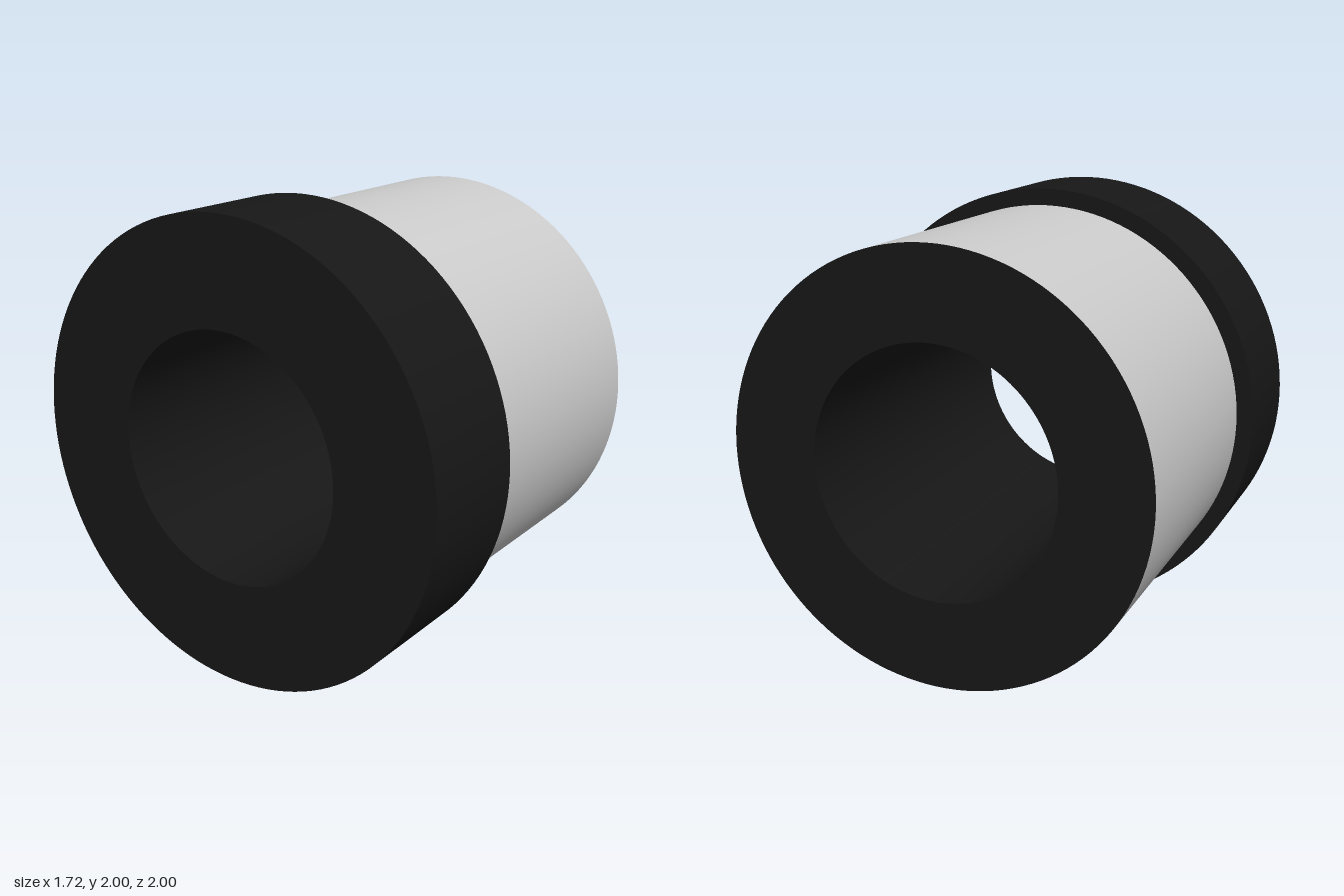
import * as THREE from 'three';
import { mergeGeometries } from 'three/addons/utils/BufferGeometryUtils.js';

const FLANGE_R = 1, SLEEVE_R = 0.925, BORE_R = 0.54;
const BACK = -0.86, SHOULDER = -0.32, END = 0.86;
const SEGMENTS = 128;

// Revolve a profile of [radius, x]; each stretch is lathed separately so edges stay sharp
function turned(name, profile, material) {
  const bands = [];
  for (let i = 0; i < profile.length - 1; i++) {
    const pair = [profile[i], profile[i + 1]].map(([r, x]) => new THREE.Vector2(r, x));
    bands.push(new THREE.LatheGeometry(pair, SEGMENTS));
  }
  const geometry = mergeGeometries(bands);
  geometry.rotateZ(-Math.PI / 2); // lathe axis onto x
  const mesh = new THREE.Mesh(geometry, material);
  mesh.name = name;
  return mesh;
}

export function createModel() {
  const dark = new THREE.MeshStandardMaterial({ color: 0x171717 });
  const grey = new THREE.MeshStandardMaterial({ color: 0xcccccc, side: THREE.DoubleSide });

  const group = new THREE.Group();
  group.name = 'flangedBushing';
  group.add(
    // Wide collar: back face, rim and shoulder
    turned('flange', [[BORE_R, BACK], [FLANGE_R, BACK], [FLANGE_R, SHOULDER], [SLEEVE_R, SHOULDER]], dark),
    // Outer surface of the narrower barrel
    turned('sleeve', [[SLEEVE_R, SHOULDER], [SLEEVE_R, END]], grey),
    // Barrel end face and the through hole
    turned('core', [[SLEEVE_R, END], [BORE_R, END], [BORE_R, BACK]], dark),
  );
  group.position.y = FLANGE_R;
  return group;
}
